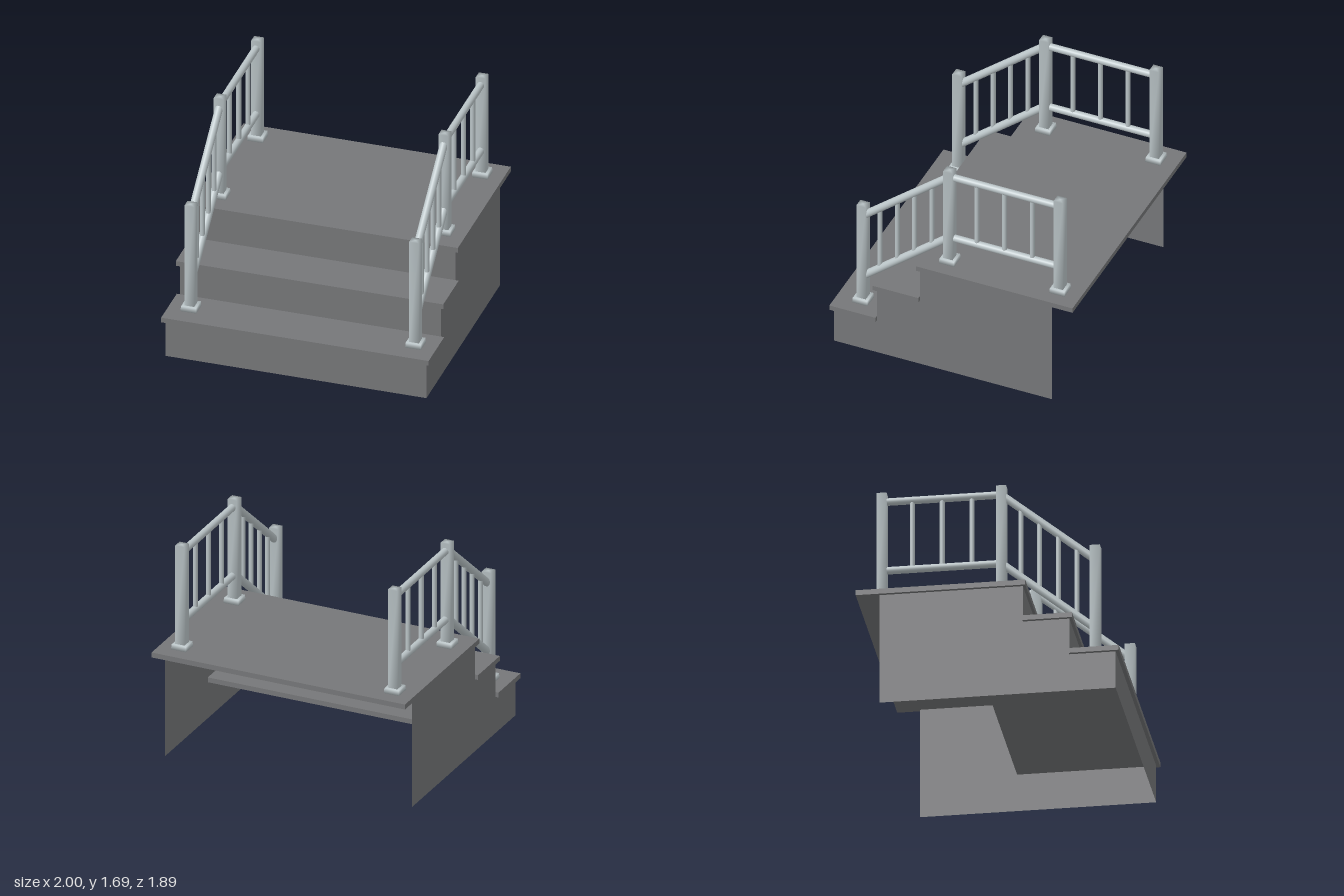
import * as THREE from 'three';
import { mergeVertices } from 'three/addons/utils/BufferGeometryUtils.js';

export function createModel() {
  const root = new THREE.Group();
  root.name = 'porchSteps';
  const stone = new THREE.MeshStandardMaterial({ color: 0x767779, side: THREE.DoubleSide });
  stone.name = 'dark grey deck';
  const paint = new THREE.MeshStandardMaterial({ color: 0xbac4c7 });
  paint.name = 'pale grey railing';

  function add(parent, name, geometry, material, x = 0, y = 0, z = 0) {
    const mesh = new THREE.Mesh(geometry, material);
    mesh.name = name;
    mesh.position.set(x, y, z);
    parent.add(mesh);
    return mesh;
  }

  // Slab given by its half width and its y and z limits
  function slab(name, halfX, y0, y1, z0, z1) {
    add(root, name, new THREE.BoxGeometry(halfX * 2, y1 - y0, z1 - z0), stone,
      0, (y0 + y1) / 2, (z0 + z1) / 2);
  }

  // Steps: overhanging tread, hidden shelf behind it, and riser sheet below
  const steps = [
    { name: 'lowerTread', y: 0.285, top: 0.323, front: 0.946, back: 0.587, riser: 0.92, from: 0 },
    { name: 'middleTread', y: 0.565, top: 0.603, front: 0.609, back: 0.253, riser: 0.587, from: 0.323 },
    { name: 'landing', y: 0.843, top: 0.882, front: 0.273, back: -0.946, riser: 0.253, from: 0.603 },
  ];
  for (const s of steps) {
    slab(s.name, 1, s.y, s.top, s.back, s.front);
    if (s.name !== 'landing') slab(s.name + 'Shelf', 0.973, s.y, s.top, -0.08, s.back);
    add(root, s.name + 'Riser', new THREE.PlaneGeometry(1.95, s.y - s.from), stone,
      0, (s.y + s.from) / 2, s.riser);
  }

  // Stepped side walls; the back is open
  const profile = new THREE.Shape([
    [0.777, 0], [-0.92, 0], [-0.92, 0.285], [-0.587, 0.285], [-0.587, 0.565],
    [-0.253, 0.565], [-0.253, 0.843], [0.777, 0.843],
  ].map(([u, v]) => new THREE.Vector2(u, v)));
  for (const side of [-1, 1]) {
    const wall = add(root, side > 0 ? 'leftWall' : 'rightWall',
      new THREE.ShapeGeometry(profile), stone, side * 0.975);
    wall.rotation.y = Math.PI / 2;
  }

  // Square block with soft shared normals
  function softBlock(topWidth, bottomWidth, height) {
    const g = new THREE.CylinderGeometry(topWidth / Math.SQRT2, bottomWidth / Math.SQRT2, height, 4);
    g.rotateY(Math.PI / 4);
    g.deleteAttribute('normal');
    g.deleteAttribute('uv');
    const merged = mergeVertices(g, 1e-4);
    merged.computeVertexNormals();
    return merged;
  }

  // Round bar between two (y, z) points
  function bar(parent, name, y0, z0, y1, z1, radius) {
    const a = new THREE.Vector3(0, y0, z0), b = new THREE.Vector3(0, y1, z1);
    const mesh = add(parent, name, new THREE.CylinderGeometry(radius, radius, a.distanceTo(b), 16), paint,
      0, (y0 + y1) / 2, (z0 + z1) / 2);
    mesh.quaternion.setFromUnitVectors(new THREE.Vector3(0, 1, 0), b.sub(a).normalize());
  }

  const posts = [
    { name: 'frontPost', z: 0.755, foot: 0.323, top: 1.18 },
    { name: 'middlePost', z: 0.08, foot: 0.882, top: 1.693 },
    { name: 'backPost', z: -0.779, foot: 0.882, top: 1.693 },
  ];
  // Height of the sloping rail centre above or below the upper one
  const slopeY = (z, drop) => 1.105 + (0.721 - z) * 0.82 - drop;

  for (const side of [-1, 1]) {
    const railing = new THREE.Group();
    railing.name = side > 0 ? 'leftRailing' : 'rightRailing';
    railing.position.x = side * 0.84;
    root.add(railing);

    // Posts and their feet
    for (const p of posts) {
      add(railing, p.name, softBlock(0.073, 0.073, p.top - p.foot), paint, 0, (p.top + p.foot) / 2, p.z);
      add(railing, p.name + 'Foot', softBlock(0.112, 0.118, 0.038), paint, 0, p.foot + 0.019, p.z);
    }

    // Level and sloping rails
    for (const y of [1.633, 1.094]) bar(railing, 'levelRail', y, 0.06, y, -0.76, 0.027);
    for (const drop of [0, 0.538]) {
      bar(railing, 'slopingRail', slopeY(0.735, drop), 0.735, slopeY(0.1, drop), 0.1, 0.029);
    }

    // Balusters
    for (const z of [-0.132, -0.347, -0.562]) bar(railing, 'levelBaluster', 1.094, z, 1.633, z, 0.018);
    for (const z of [0.622, 0.488, 0.354, 0.219]) {
      bar(railing, 'slopingBaluster', slopeY(z, 0.538), z, slopeY(z, 0), z, 0.018);
    }
  }
  return root;
}
